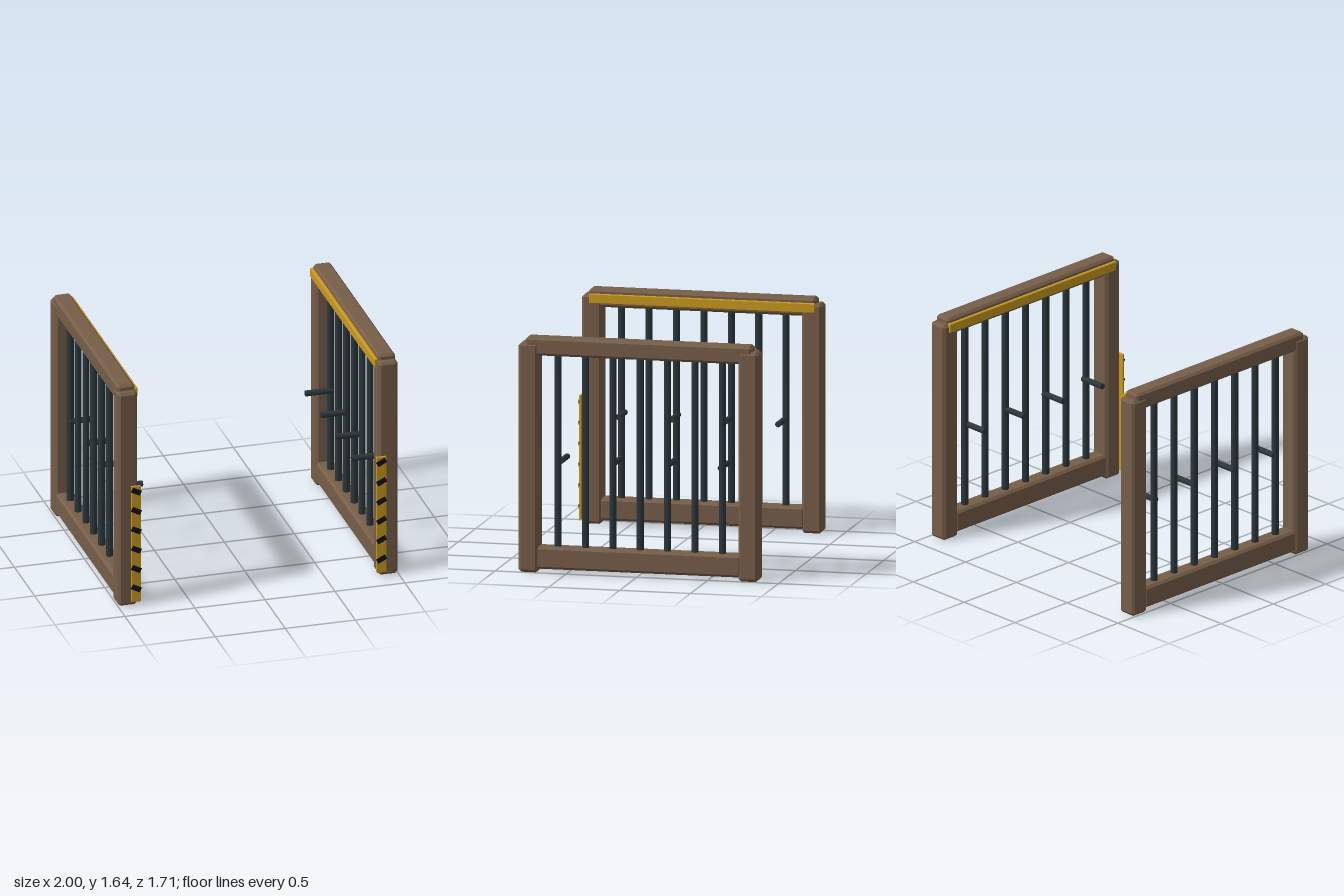
import * as THREE from 'three';
import { ConvexGeometry } from 'three/addons/geometries/ConvexGeometry.js';

const wood = new THREE.MeshStandardMaterial({ color: 0x765e49 });
wood.name = 'brown frame';
const yellow = new THREE.MeshStandardMaterial({ color: 0xc99a1e });
yellow.name = 'safety yellow';
const steel = new THREE.MeshStandardMaterial({ color: 0x2b373c });
steel.name = 'dark steel';
const black = new THREE.MeshStandardMaterial({ color: 0x121212 });
black.name = 'stripe black';

// Box with every edge cut at 45 degrees by c
function chamferBox(w, h, d, c) {
  const pts = [];
  for (const x of [-1, 1]) for (const y of [-1, 1]) for (const z of [-1, 1]) {
    for (let axis = 0; axis < 3; axis++) {
      const cut = [c, c, c];
      cut[axis] = 0;
      pts.push(new THREE.Vector3(x * (w / 2 - cut[0]), y * (h / 2 - cut[1]), z * (d / 2 - cut[2])));
    }
  }
  return new ConvexGeometry(pts);
}

function add(parent, name, geometry, material, x, y, z) {
  const mesh = new THREE.Mesh(geometry, material);
  mesh.name = name;
  mesh.position.set(x, y, z);
  parent.add(mesh);
  return mesh;
}

// One barred side panel; s is +1 for the left side and -1 for the right
function createPanel(s) {
  const panel = new THREE.Group();
  panel.name = s > 0 ? 'leftPanel' : 'rightPanel';
  const X = s * 0.93, Z = -0.008;

  // Frame
  add(panel, 'frontPost', chamferBox(0.14, 1.6, 0.141, 0.019), wood, X, 0.8, Z + 0.776);
  add(panel, 'backPost', chamferBox(0.14, 1.6, 0.141, 0.019), wood, X, 0.8, Z - 0.776);
  add(panel, 'topRail', chamferBox(0.126, 0.126, 1.6, 0.017), wood, X, 1.577, Z);
  add(panel, 'bottomRail', chamferBox(0.126, 0.155, 1.45, 0.017), wood, X, 0.103, Z);

  // Upright bars
  const bar = new THREE.CylinderGeometry(0.025, 0.025, 1.38, 10);
  for (let i = -3; i <= 3; i++) add(panel, 'bar', bar, steel, X, 0.85, Z + i * 0.1935);

  // Pegs pointing inward
  const peg = new THREE.CylinderGeometry(0.021, 0.021, 0.195, 10);
  for (let i = 0; i < 4; i++) {
    add(panel, 'peg', peg, steel, s * 0.8425, 0.775, -0.576 + i * 0.376).rotation.z = Math.PI / 2;
  }

  // Trim along the inner face of the top rail
  add(panel, 'topTrim', chamferBox(0.026, 0.066, 1.592, 0.004), yellow, s * 0.859, 1.575, -0.013);

  // Hazard plate with slanted stripes
  add(panel, 'hazardPlate', chamferBox(0.07, 0.87, 0.016, 0.003), yellow, s * 0.876, 0.465, 0.844);
  const stripe = new THREE.BoxGeometry(0.07, 0.037, 0.006);
  for (let i = 0; i < 6; i++) {
    add(panel, 'hazardStripe', stripe, black, s * 0.876, 0.132 + i * 0.1455, 0.8525).rotation.z = s * 0.48;
  }
  return panel;
}

export function createModel() {
  const model = new THREE.Group();
  model.name = 'barredSidePanels';
  for (const s of [-1, 1]) model.add(createPanel(s));
  return model;
}
